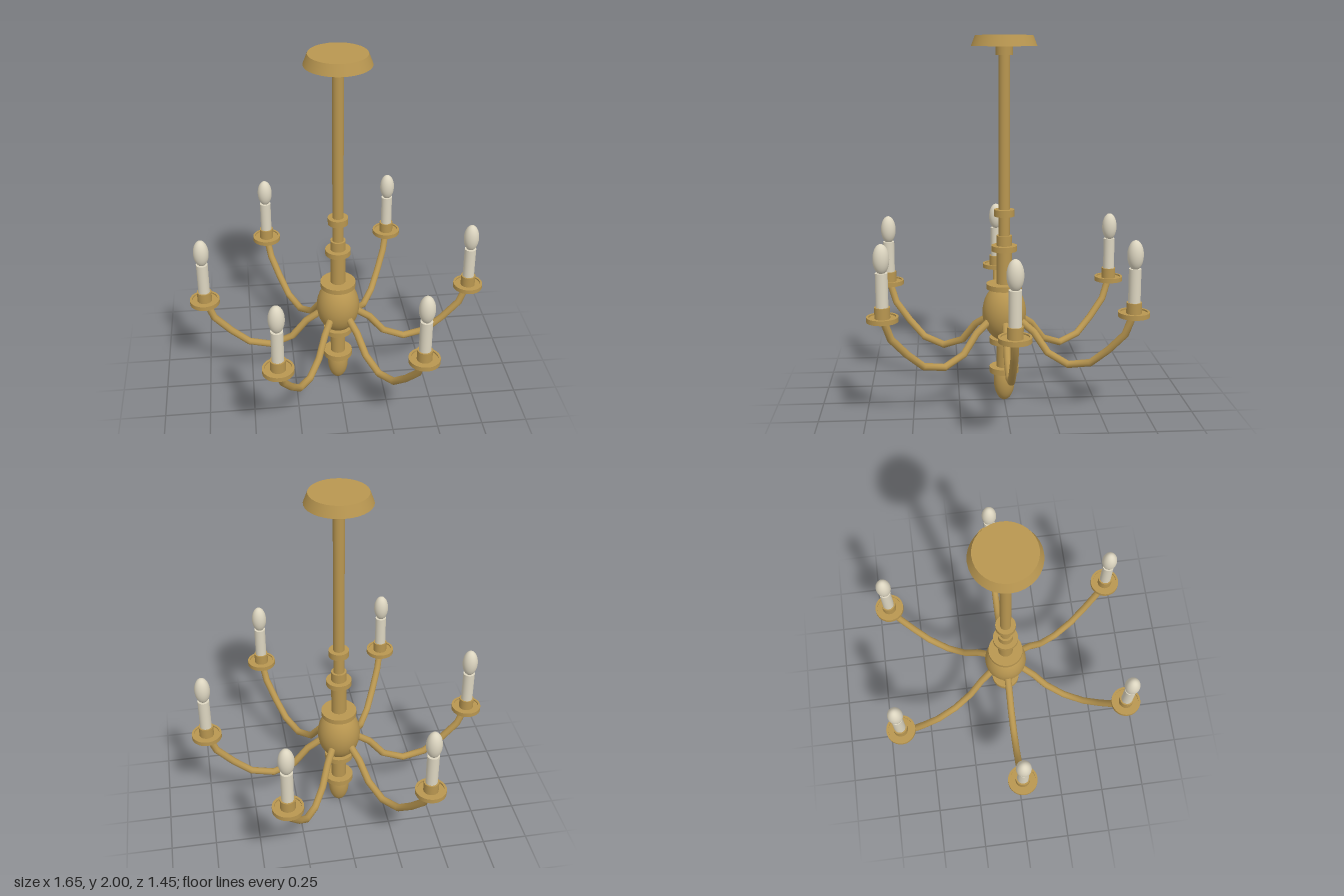
import * as THREE from 'three';

const brass = new THREE.MeshStandardMaterial({ name: 'brass', color: 0xb89650 });
const ivory = new THREE.MeshStandardMaterial({ name: 'ivory', color: 0xdcd5c0 });

function add(parent, name, geometry, material, y = 0) {
  const mesh = new THREE.Mesh(geometry, material);
  mesh.name = name;
  mesh.position.y = y;
  parent.add(mesh);
  return mesh;
}

// Upright cylinder or cone section between two heights
function disc(parent, name, y0, y1, rBottom, rTop = rBottom, material = brass) {
  return add(parent, name, new THREE.CylinderGeometry(rTop, rBottom, y1 - y0, 32), material, (y0 + y1) / 2);
}

// Stretched sphere
function egg(parent, name, y, radius, halfHeight, material) {
  const g = new THREE.SphereGeometry(1, 32, 20).scale(radius, halfHeight, radius);
  return add(parent, name, g, material, y);
}

// Centre line of an arm as [distance from axis, height]
const armPath = [
  [0.07, 0.49], [0.18, 0.415], [0.275, 0.302], [0.4, 0.262],
  [0.525, 0.302], [0.62, 0.392], [0.713, 0.5], [0.743, 0.6],
];

// Dish with a slightly raised rim
const dishProfile = [
  [0, 0.58], [0.082, 0.58], [0.082, 0.58], [0.082, 0.605], [0.082, 0.605],
  [0.07, 0.605], [0.07, 0.605], [0.07, 0.597], [0.07, 0.597], [0, 0.597],
];

function createArm() {
  const arm = new THREE.Group();
  arm.name = 'arm';
  // Faceted bend: straight runs between the path points
  const curve = new THREE.CatmullRomCurve3(armPath.map(([r, y]) => new THREE.Vector3(r, y, 0)));
  add(arm, 'curvedArm', new THREE.TubeGeometry(curve, 7, 0.02, 10), brass);

  const light = new THREE.Group();
  light.name = 'candleLight';
  light.position.x = 0.742;
  const dish = dishProfile.map(([r, y]) => new THREE.Vector2(r, y));
  add(light, 'dripDish', new THREE.LatheGeometry(dish, 32), brass);
  disc(light, 'candleCup', 0.595, 0.655, 0.04);
  disc(light, 'candle', 0.655, 0.832, 0.032, 0.032, ivory);
  egg(light, 'bulb', 0.902, 0.042, 0.078, ivory);
  arm.add(light);
  return arm;
}

export function createModel() {
  const model = new THREE.Group();
  model.name = 'chandelier';

  // Ceiling mount and hanging rod
  disc(model, 'canopy', 1.943, 2, 0.174, 0.152);
  disc(model, 'canopyCollar', 1.897, 1.943, 0.045);
  disc(model, 'rod', 0.93, 1.9, 0.03);
  disc(model, 'rodRing', 1.043, 1.08, 0.055);

  // Turned central column
  disc(model, 'upperColumn', 0.65, 0.937, 0.042);
  disc(model, 'columnRing', 0.852, 0.882, 0.07);
  disc(model, 'upperBallRing', 0.642, 0.67, 0.098);
  egg(model, 'centralBall', 0.508, 0.12, 0.16, brass);
  disc(model, 'lowerBallRing', 0.333, 0.364, 0.081);
  disc(model, 'lowerColumn', 0.18, 0.36, 0.042);
  disc(model, 'finialRing', 0.165, 0.197, 0.081);
  egg(model, 'finial', 0.113, 0.058, 0.113, brass);

  // Six arms around the column
  for (let i = 0; i < 6; i++) {
    const arm = createArm();
    arm.rotation.y = (i * Math.PI) / 3;
    model.add(arm);
  }
  return model;
}
